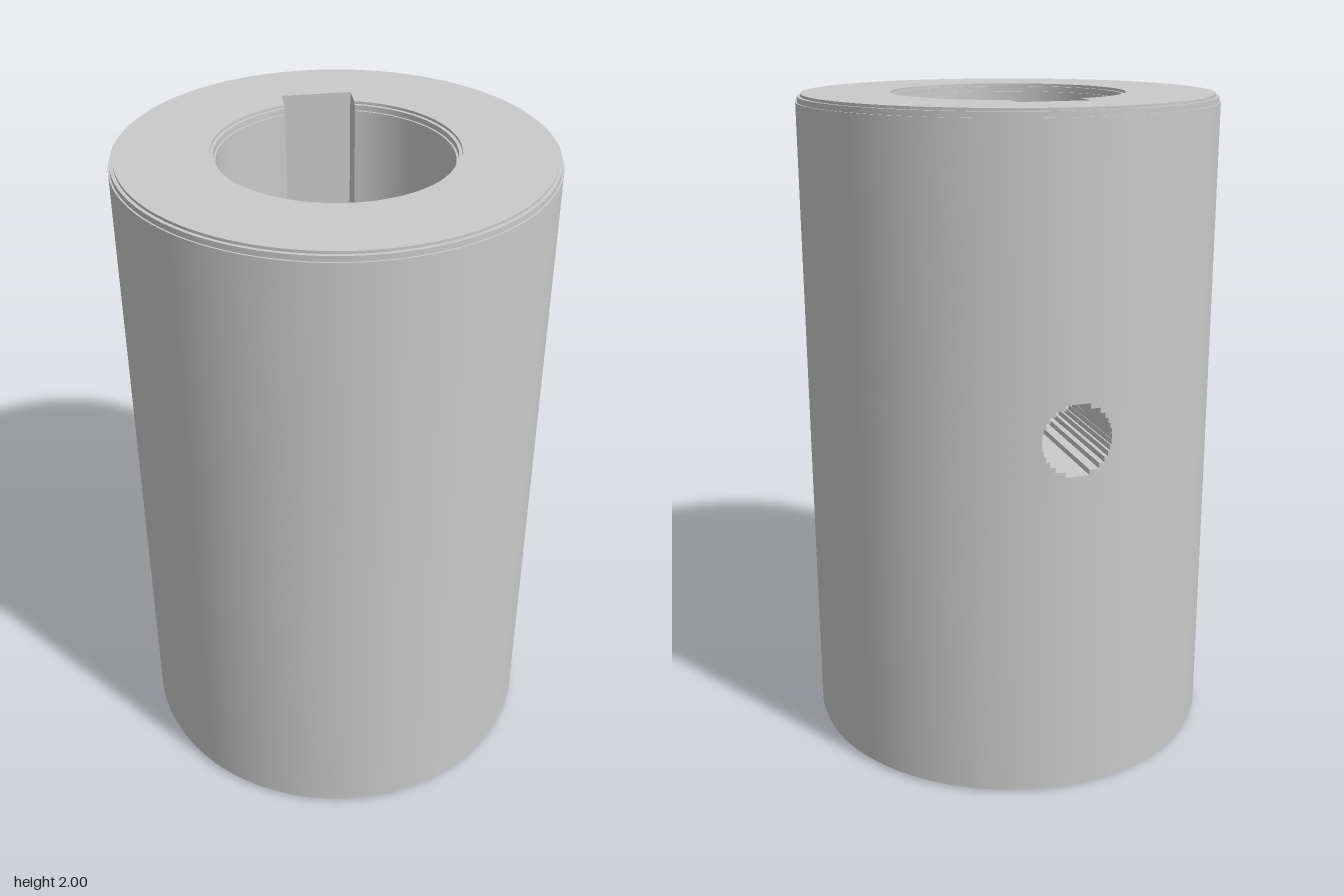
import * as THREE from 'three';
import { toCreasedNormals } from 'three/addons/utils/BufferGeometryUtils.js';

const R = 0.63, BORE = 0.335, KEY_W = 0.105, KEY_Z = 0.41;
const SEG = 96, TURN = Math.PI * 2;
const HOLE_Y = 1.1, HOLE_R = 0.1035, STEP = 0.0162, RING = 0.028;

// Arc from angle a up to b, where 0 points to the back; inner points share one fixed grid
function arc(r, a, b) {
  const angles = [a];
  for (let i = 0; i <= SEG; i++) {
    const t = (i * TURN) / SEG;
    if (t > a + 1e-4 && t < b - 1e-4) angles.push(t);
  }
  angles.push(b);
  return angles.map((t) => new THREE.Vector2(r * Math.sin(t), r * Math.cos(t)));
}

const circle = (r) => arc(r, 0, TURN).slice(0, -1);

// Bore outline, with a rectangular keyway at the back if wanted
function boreOutline(r, key) {
  if (!key) return circle(r);
  const a = Math.asin(KEY_W / r);
  return [
    new THREE.Vector2(-KEY_W, KEY_Z), new THREE.Vector2(KEY_W, KEY_Z),
    ...arc(r, a, TURN - a),
  ];
}

// Closed ring of wall; the outline runs anticlockwise so the bore faces inwards
function ringSection(outer, bore, key) {
  const s = new THREE.Shape(circle(outer).reverse());
  s.holes.push(new THREE.Path(boreOutline(bore, key)));
  return s;
}

// Ring of wall opened at the back by the screw hole, whose half width is slot
function slottedSection(bore, slot, key) {
  const a = Math.asin(slot / R);
  const b = Math.asin((key ? KEY_W : slot) / bore);
  const points = arc(R, a, TURN - a);
  if (key) points.push(new THREE.Vector2(-slot, KEY_Z), new THREE.Vector2(-KEY_W, KEY_Z));
  points.push(...arc(bore, b, TURN - b).reverse());
  if (key) points.push(new THREE.Vector2(KEY_W, KEY_Z), new THREE.Vector2(slot, KEY_Z));
  return new THREE.Shape(points);
}

export function createModel() {
  const model = new THREE.Group();
  const steel = new THREE.MeshStandardMaterial({ color: 0xcacaca });
  steel.name = 'steel grey';

  // Extrudes a cross-section from height y0 to y1
  const add = (name, shape, y0, y1, parent = model) => {
    const g = new THREE.ExtrudeGeometry(shape, { depth: y1 - y0, bevelEnabled: false });
    g.rotateX(-Math.PI / 2);
    g.translate(0, y0, 0);
    const mesh = new THREE.Mesh(toCreasedNormals(g, 0.25), steel);
    mesh.name = name;
    parent.add(mesh);
  };
  const solid = (r) => new THREE.Shape(circle(r).reverse());

  // Solid lower half on a finely stepped foot
  const firstStep = HOLE_Y - 11.5 * STEP;
  add('footEdge', solid(R - 0.015), 0, 0.008);
  add('footStep', solid(R - 0.005), 0.008, 0.024);
  add('solidBase', solid(R), 0.024, firstStep);

  // Stepped conical bore end, cut from the back by the screw hole
  const steps = new THREE.Group();
  steps.name = 'boreEndAndScrewHole';
  model.add(steps);
  for (let i = 0; i < 18; i++) {
    const y = firstStep + i * STEP;
    const h = (i - 11) * STEP;
    const key = i > 11;
    const bore = key ? BORE : 0.016 + RING * i;
    const shape = Math.abs(i - 11) <= 6
      ? slottedSection(bore, Math.sqrt(HOLE_R ** 2 - h ** 2), key)
      : ringSection(R, bore, key);
    add('wallStep', shape, y, y + STEP, steps);
  }

  // Keyed upper wall, with the rim stepped back outside and in the bore
  add('keyedWall', ringSection(R, BORE, true), firstStep + 18 * STEP, 1.976);
  add('rimStep', ringSection(R - 0.005, BORE + 0.006, true), 1.976, 1.992);
  add('rimEdge', ringSection(R - 0.015, BORE + 0.016, true), 1.992, 2);

  return model;
}
